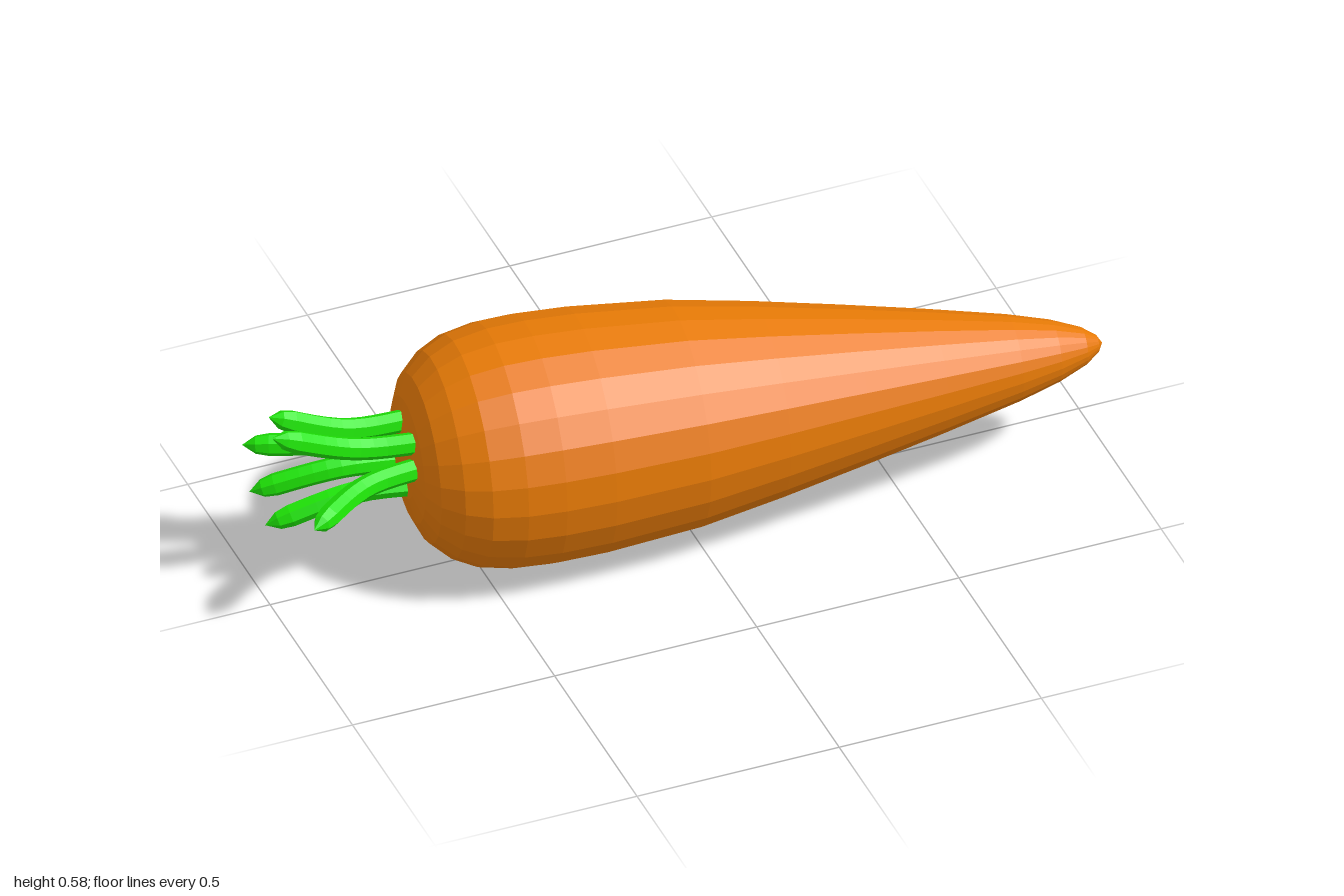
import * as THREE from 'three';

const orange = new THREE.MeshStandardMaterial({ color: 0xe77a06 });
orange.name = 'carrot orange';
const green = new THREE.MeshStandardMaterial({ color: 0x1ee606 });
green.name = 'leaf green';

// Gives every face its own normal
function faceted(geometry) {
  const flat = geometry.toNonIndexed();
  flat.computeVertexNormals();
  return flat;
}

// Root: a 24-sided lathe laid along x and yawed so the tip swings forward
function makeRoot() {
  const profile = [
    [0, -0.314], [0.09, -0.31], [0.15, -0.298], [0.2, -0.274], [0.243, -0.228], [0.272, -0.17],
    [0.288, -0.09], [0.292, 0], [0.288, 0.12], [0.266, 0.35], [0.23, 0.55], [0.189, 0.75],
    [0.146, 0.95], [0.102, 1.14], [0.073, 1.24], [0.044, 1.31], [0.02, 1.343], [0, 1.355],
  ].map(([r, t]) => new THREE.Vector2(r, t));
  const geometry = new THREE.LatheGeometry(profile, 24);
  geometry.rotateZ(-Math.PI / 2);
  const root = new THREE.Mesh(faceted(geometry), orange);
  root.name = 'root';
  root.rotation.y = -0.111;
  root.position.set(-0.35, 0.293, 0);
  return root;
}

// Stalk: a curved tube whose rings shrink to a blunt, closed tip
function makeStalk(base, bend, tip, index) {
  const curve = new THREE.CatmullRomCurve3([base, bend, tip].map((p) => new THREE.Vector3(...p)));
  const rings = 12, sides = 7;
  const geometry = new THREE.TubeGeometry(curve, rings, 0.027, sides);
  const pos = geometry.attributes.position;
  const p = new THREE.Vector3();
  for (let i = 0; i <= rings; i++) {
    const centre = curve.getPointAt(i / rings);
    const scale = i === rings ? 0 : i === rings - 1 ? 0.8 : 1;
    for (let j = 0; j <= sides; j++) {
      const k = i * (sides + 1) + j;
      p.fromBufferAttribute(pos, k).sub(centre).multiplyScalar(scale).add(centre);
      pos.setXYZ(k, p.x, p.y, p.z);
    }
  }
  const stalk = new THREE.Mesh(faceted(geometry), green);
  stalk.name = `stalk${index + 1}`;
  return stalk;
}

export function createModel() {
  const model = new THREE.Group();
  model.name = 'carrot';
  model.add(makeRoot());

  // Six stalks fanning out of the blunt end: base, bend, tip
  const stalks = new THREE.Group();
  stalks.name = 'stalks';
  [
    [[-0.62, 0.31, -0.12], [-0.8, 0.308, -0.145], [-0.98, 0.3, -0.22]],
    [[-0.62, 0.235, -0.11], [-0.78, 0.245, -0.125], [-0.975, 0.188, -0.187]],
    [[-0.62, 0.38, -0.065], [-0.78, 0.388, -0.075], [-0.965, 0.46, -0.095]],
    [[-0.62, 0.235, -0.01], [-0.78, 0.248, -0.02], [-0.99, 0.187, -0.055]],
    [[-0.62, 0.38, 0.03], [-0.79, 0.39, 0.005], [-1.0, 0.483, 0.012]],
    [[-0.62, 0.325, 0.045], [-0.79, 0.322, 0.065], [-0.96, 0.318, 0.17]],
  ].forEach(([base, bend, tip], i) => stalks.add(makeStalk(base, bend, tip, i)));
  model.add(stalks);
  return model;
}
